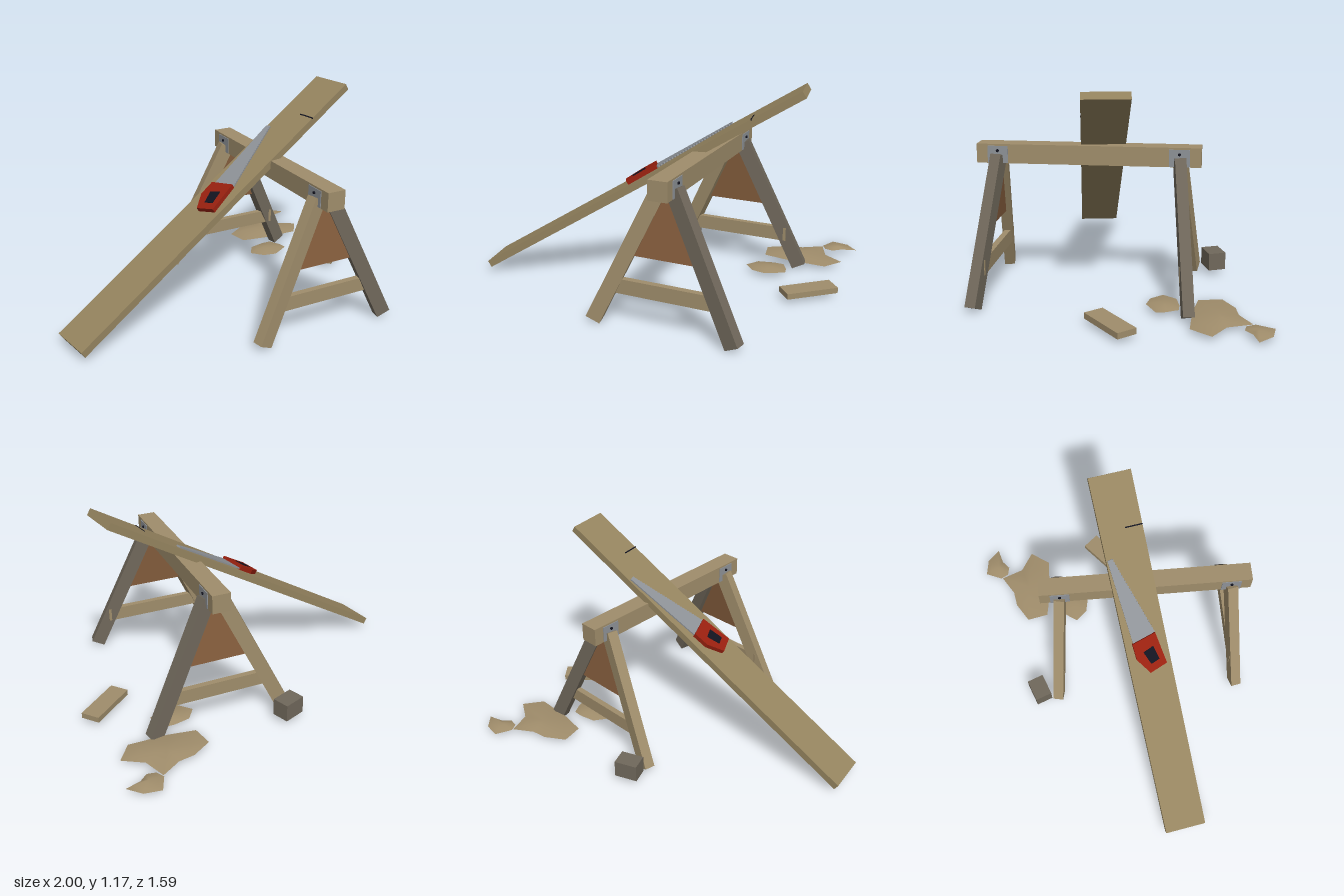
import * as THREE from 'three';

const paint = (name, color, side = THREE.FrontSide) => {
  const m = new THREE.MeshStandardMaterial({ color, side });
  m.name = name;
  return m;
};

export function createModel() {
  const model = new THREE.Group();
  model.name = 'sawhorse';
  const wood = paint('tan wood', 0x9f8d6b);
  const plankWood = paint('plank wood', 0x95845f);
  const greyWood = paint('grey wood', 0x70685b);
  const ply = paint('brown plywood', 0x875f3e);
  const steel = paint('steel', 0x8e9297);
  const red = paint('red handle', 0x98200f);
  const dark = paint('dark navy', 0x12131f);
  const dust = paint('sawdust', 0xa08d6b, THREE.DoubleSide);

  const add = (parent, name, geo, mat, x = 0, y = 0, z = 0) => {
    const mesh = new THREE.Mesh(geo, mat);
    mesh.name = name;
    mesh.position.set(x, y, z);
    parent.add(mesh);
    return mesh;
  };
  const box = (w, h, d) => new THREE.BoxGeometry(w, h, d);
  const outline = pts => new THREE.Shape(pts.map(p => new THREE.Vector2(...p)));
  // Flat plate drawn in plan (x, z), with its upper face at the given height
  const plate = (pts, depth, top) =>
    new THREE.ExtrudeGeometry(outline(pts), { depth, bevelEnabled: false })
      .rotateX(Math.PI / 2).translate(0, top, 0);

  // Trestle: everything is symmetric about x = 0, z = 0 of this group
  const trestle = new THREE.Group();
  trestle.name = 'trestle';
  trestle.position.set(0.303, 0, 0.19);
  model.add(trestle);
  add(trestle, 'topBeam', box(0.104, 0.104, 1.2), wood, 0, 0.77, 0);

  const leg = (sx, sz) => {
    const top = new THREE.Vector3(sx * 0.038, 0.755, sz * 0.485);
    const foot = new THREE.Vector3(sx * 0.385, 0.02, sz * 0.555);
    const d = top.clone().sub(foot);
    const length = d.length();
    d.normalize();
    const s = new THREE.Vector3(-d.z, 0, d.x).normalize();
    const w = d.clone().cross(s);
    const mesh = add(trestle, sx < 0 ? 'rightLeg' : 'leftLeg', box(0.08, length, 0.06), sx < 0 ? wood : greyWood);
    mesh.quaternion.setFromRotationMatrix(new THREE.Matrix4().makeBasis(w, d, s));
    mesh.position.copy(top).add(foot).multiplyScalar(0.5);
  };

  for (const sz of [-1, 1]) {
    for (const sx of [-1, 1]) {
      leg(sx, sz);
      add(trestle, 'bracketPlate', box(0.006, 0.092, 0.11), steel, sx * 0.053, 0.766, sz * 0.485);
      const bolt = add(trestle, 'bolt', new THREE.CylinderGeometry(0.008, 0.008, 0.01, 8), dark, sx * 0.058, 0.787, sz * 0.485);
      bolt.rotation.z = Math.PI / 2;
    }
    add(trestle, 'stretcher', box(0.62, 0.08, 0.034), wood, 0, 0.215, sz * 0.523);
    // Gusset leans with the legs
    const gusset = add(trestle, 'gusset', new THREE.ExtrudeGeometry(
      outline([[-0.19, 0], [0.19, 0], [0.05, 0.34], [-0.05, 0.34]]),
      { depth: 0.02, bevelEnabled: false }).translate(0, 0, -0.01), ply, 0, 0.39, sz * 0.52);
    gusset.rotation.x = -sz * 0.095;
  }

  // Leaning plank with the handsaw lying on it
  const plank = new THREE.Group();
  plank.name = 'leaningPlank';
  plank.position.set(-0.09, 0.6, 0.18);
  plank.rotation.set(0, 0.17, 0.553, 'YZX');
  model.add(plank);
  add(plank, 'plank', box(2.104, 0.04, 0.24), plankWood);
  add(plank, 'cutMark', box(0.007, 0.008, 0.1), dark, 0.752, 0.0185, 0.0715);

  // Blade with a row of small teeth along its lower edge
  const blade = [[0.1, -0.072], [0.595, -0.114], [0.602, -0.088]];
  const teeth = 28;
  for (let i = 1; i <= teeth; i++) {
    const t = i / teeth;
    const x = 0.602 - 0.452 * t, z = -0.088 + 0.146 * t;
    blade.push([x + 0.01, z + 0.003], [x, z]);
  }
  add(plank, 'sawBlade', plate(blade, 0.008, 0.031), steel);
  add(plank, 'sawHandle', plate([[-0.072, -0.012], [0.018, -0.073], [0.111, -0.079],
    [0.149, 0.06], [-0.036, 0.091]], 0.027, 0.046), red);
  add(plank, 'handleOpening', plate([[-0.022, 0.002], [0.053, -0.028],
    [0.077, 0.033], [-0.004, 0.053]], 0.004, 0.048), dark);

  // Offcuts on the ground
  add(model, 'offcut', box(0.3, 0.032, 0.11), wood, 0.85, 0.045, 0.01).rotation.y = 0.715;
  add(model, 'blockOffcut', box(0.132, 0.1, 0.1), greyWood, -0.06, 0.082, -0.48).rotation.y = 0.37;

  // Low mounds of sawdust: shrinking rings that rise to a centre point
  const mound = pts => {
    const n = pts.length;
    const cx = pts.reduce((a, p) => a + p[0], 0) / n;
    const cz = pts.reduce((a, p) => a + p[1], 0) / n;
    const pos = [], idx = [];
    for (const [k, y] of [[1, 0.027], [0.65, 0.036], [0.3, 0.041]])
      for (const [x, z] of pts) pos.push(cx + (x - cx) * k, y, cz + (z - cz) * k);
    pos.push(cx, 0.043, cz);
    for (let i = 0; i < n; i++) {
      const j = (i + 1) % n;
      for (const r of [0, n]) idx.push(r + i, r + j, r + n + i, r + j, r + n + j, r + n + i);
      idx.push(2 * n + i, 2 * n + j, 3 * n);
    }
    const geo = new THREE.BufferGeometry();
    geo.setAttribute('position', new THREE.Float32BufferAttribute(pos, 3));
    geo.setIndex(idx);
    geo.computeVertexNormals();
    add(model, 'sawdustMound', geo, dust);
  };
  mound([[0.44, -0.535], [0.465, -0.41], [0.62, -0.385], [0.84, -0.38], [0.915, -0.49],
    [0.8, -0.56], [0.75, -0.69], [0.64, -0.62], [0.55, -0.605]]);
  mound([[0.75, -0.7], [0.775, -0.655], [0.825, -0.645], [0.87, -0.685], [0.955, -0.71],
    [0.885, -0.78], [0.79, -0.795]]);
  mound([[0.41, -0.22], [0.47, -0.155], [0.55, -0.14], [0.655, -0.2], [0.645, -0.25],
    [0.61, -0.315], [0.55, -0.315], [0.46, -0.295]]);

  return model;
}
